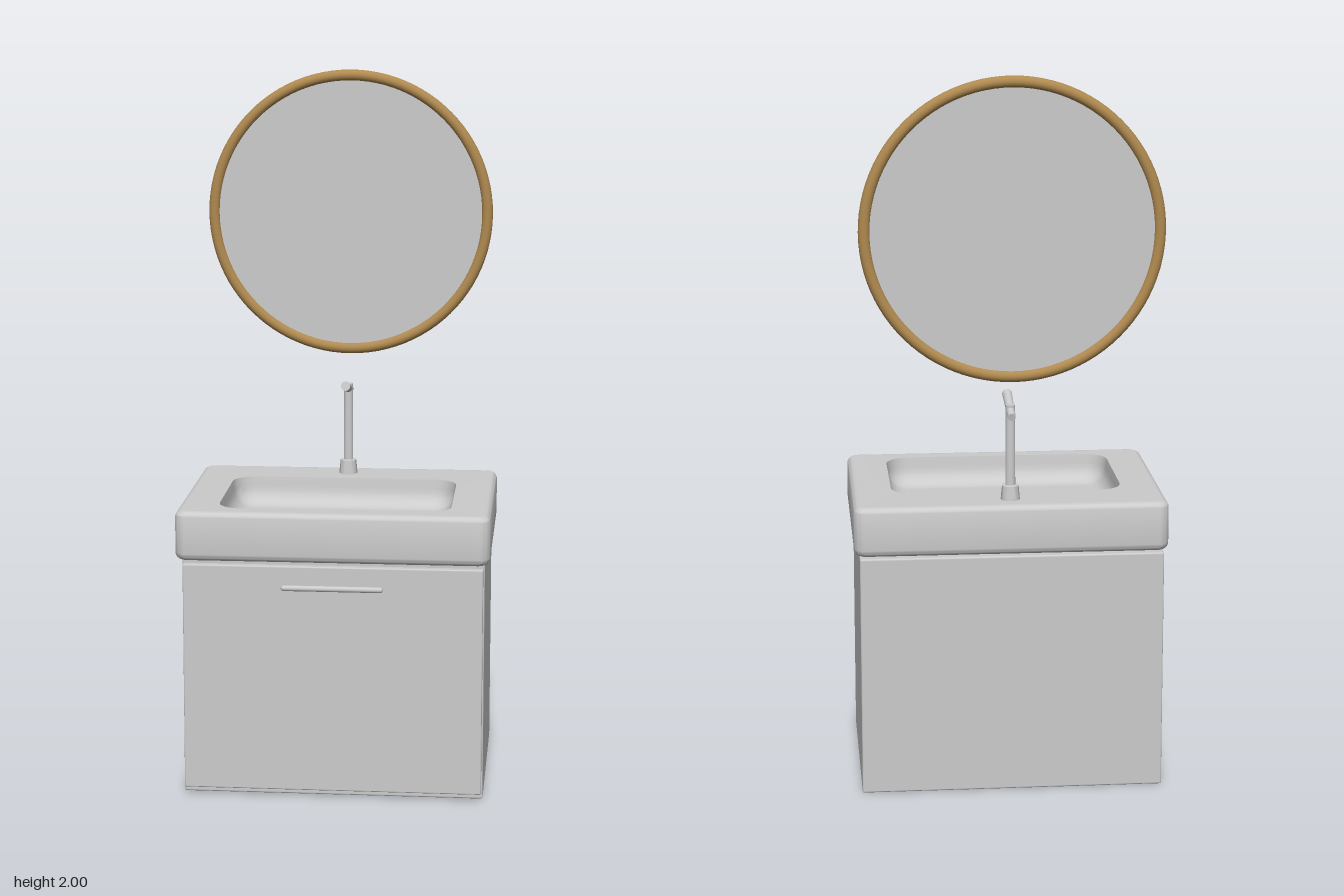
import * as THREE from 'three';
import { toCreasedNormals } from 'three/addons/utils/BufferGeometryUtils.js';
import { RoundedBoxGeometry } from 'three/addons/geometries/RoundedBoxGeometry.js';

const grey = new THREE.MeshStandardMaterial({ color: 0xcccccc });
const wood = new THREE.MeshStandardMaterial({ color: 0xb08a50 });

function add(parent, name, geometry, x = 0, y = 0, z = 0, material = grey) {
  const mesh = new THREE.Mesh(geometry, material);
  mesh.name = name;
  mesh.position.set(x, y, z);
  parent.add(mesh);
  return mesh;
}

// Horizontal rounded rectangle: half sizes w and d, corner radius r, centre z
function ring(w, d, r, y, zc = 0, steps = 8) {
  const points = [];
  for (let corner = 0; corner < 4; corner++) {
    const sx = corner === 0 || corner === 3 ? 1 : -1;
    const sz = corner < 2 ? 1 : -1;
    for (let i = 0; i <= steps; i++) {
      const a = (corner + i / steps) * Math.PI / 2;
      points.push([sx * (w - r) + r * Math.cos(a), y, zc + sz * (d - r) + r * Math.sin(a)]);
    }
  }
  return points;
}

// Skin over a series of rings with equal point counts
function loft(rings) {
  const n = rings[0].length, index = [];
  for (let i = 0; i < rings.length - 1; i++) {
    for (let j = 0; j < n; j++) {
      const a = i * n + j, b = i * n + (j + 1) % n;
      index.push(a, a + n, b, b, a + n, b + n);
    }
  }
  const geometry = new THREE.BufferGeometry();
  geometry.setAttribute('position', new THREE.Float32BufferAttribute(rings.flat(2), 3));
  geometry.setIndex(index);
  return toCreasedNormals(geometry, 0.6);
}

function basinGeometry() {
  const W = 0.437, D = 0.324, bottom = 0.683, top = 0.822, e = 0.02, steps = 6;
  const rings = [ring(0, 0, 0, bottom)];
  // outer shell with rounded lower and upper edges
  for (const [y0, start] of [[bottom + e, -Math.PI / 2], [top - e, 0]]) {
    for (let i = 0; i <= steps; i++) {
      const a = start + i / steps * Math.PI / 2;
      const inset = e * (1 - Math.cos(a));
      rings.push(ring(W - inset, D - inset, 0.035 - inset, y0 + e * Math.sin(a)));
    }
  }
  // flat rim and bowl, with a soft fillet to the floor
  const bw = 0.325, bd = 0.212, zc = 0.048, floor = 0.742, f = 0.055;
  rings.push(ring(W - e - 0.005, D - e - 0.005, 0.012, top));
  rings.push(ring(bw, bd, 0.068, top, zc));
  for (let i = 0; i <= steps; i++) {
    const a = i / steps * Math.PI / 2;
    const inset = 0.004 + f * (1 - Math.cos(a));
    rings.push(ring(bw - inset, bd - inset, 0.068 - inset, floor + f * (1 - Math.sin(a)), zc));
  }
  rings.push(ring(bw - f - 0.01, bd - f - 0.01, 0.005, floor, zc));
  rings.push(ring(0, 0, 0, floor, zc));
  return loft(rings);
}

function lathe(points) {
  const profile = points.map(([x, y]) => new THREE.Vector2(x, y));
  return toCreasedNormals(new THREE.LatheGeometry(profile, 32), 0.6);
}

export function createModel() {
  const model = new THREE.Group();
  model.name = 'washstand';

  // Cabinet with drawer front and bar handle
  const cabinet = new THREE.Group();
  cabinet.name = 'cabinet';
  model.add(cabinet);
  add(cabinet, 'cabinetBody', new RoundedBoxGeometry(0.844, 0.68, 0.594, 2, 0.005), 0, 0.34, -0.027);
  add(cabinet, 'drawerFront', new RoundedBoxGeometry(0.836, 0.648, 0.024, 2, 0.004), 0, 0.344, 0.284);
  add(cabinet, 'drawerHandle', new THREE.CapsuleGeometry(0.008, 0.268, 6, 16), 0, 0.608, 0.304)
    .rotation.z = Math.PI / 2;

  // Basin and drain
  add(model, 'basin', basinGeometry());
  add(model, 'drain', lathe([[0.022, 0], [0.022, 0.005], [0.019, 0.008], [0, 0.008]]), 0, 0.741, 0.048);

  // Tap: flared base, slim column and tilted spout
  const tap = new THREE.Group();
  tap.name = 'tap';
  tap.position.set(0, 0.82, -0.241);
  model.add(tap);
  add(tap, 'tapBase', lathe([[0.027, 0], [0.026, 0.012], [0.023, 0.042], [0.013, 0.044]]));
  add(tap, 'tapColumn', new THREE.CylinderGeometry(0.013, 0.014, 0.24, 24), 0, 0.15, 0);
  add(tap, 'tapSpout', new THREE.CylinderGeometry(0.0135, 0.011, 0.152, 24), 0, 0.262, 0.029)
    .rotation.x = Math.PI / 2 - 0.23;

  // Round mirror
  const mirror = new THREE.Group();
  mirror.name = 'mirror';
  mirror.position.set(0, 1.584, -0.307);
  model.add(mirror);
  add(mirror, 'mirrorFrame', new THREE.TorusGeometry(0.4, 0.016, 16, 96), 0, 0, 0, wood);
  add(mirror, 'mirrorGlass', new THREE.CylinderGeometry(0.398, 0.398, 0.01, 96))
    .rotation.x = Math.PI / 2;

  return model;
}
